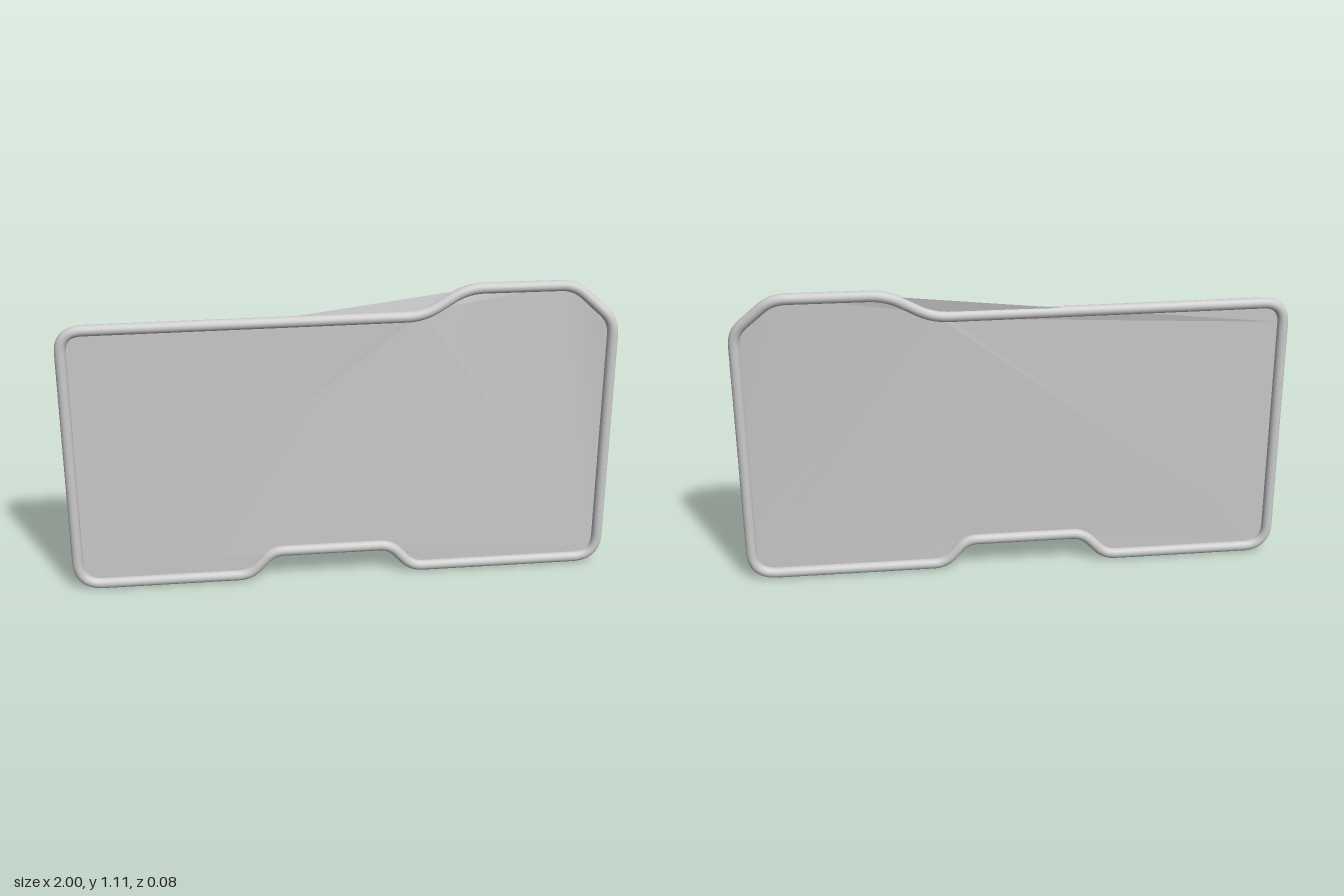
import * as THREE from 'three';

// Frame centreline corners: x, y, z, corner cut-back
const CORNERS = [
  [-0.98, 0.022, 0.02, 0.09],
  [-0.35, 0.022, 0.02, 0.04],
  [-0.26, 0.115, 0.02, 0.04],
  [0.18, 0.115, 0.02, 0.04],
  [0.265, 0.022, 0.02, 0.04],
  [0.98, 0.022, 0.02, 0.09],
  [0.98, 0.97, 0.018, 0.05],
  [0.84, 1.095, -0.018, 0.05],
  [0.45, 1.095, -0.02, 0.06],
  [0.29, 1.005, 0.0, 0.06],
  [-0.98, 1.005, 0.02, 0.08],
];

// Closed path of straight runs joined by rounded corners
function framePath() {
  const path = new THREE.CurvePath();
  const pts = CORNERS.map(([x, y, z]) => new THREE.Vector3(x, y, z));
  const n = pts.length;
  const toward = (i, j) => {
    const dir = pts[j].clone().sub(pts[i]).normalize();
    return pts[i].clone().addScaledVector(dir, CORNERS[i][3]);
  };
  for (let i = 0; i < n; i++) {
    const next = (i + 1) % n;
    const before = toward(i, (i + n - 1) % n);
    const after = toward(i, next);
    path.add(new THREE.QuadraticBezierCurve3(before, pts[i], after));
    path.add(new THREE.LineCurve3(after, toward(next, i)));
  }
  return path;
}

// Thin sheet from 3D points and triangle indices
function sheet(points, index, material, name) {
  const geometry = new THREE.BufferGeometry().setFromPoints(points);
  geometry.setIndex(index);
  geometry.computeVertexNormals();
  const mesh = new THREE.Mesh(geometry, material);
  mesh.name = name;
  return mesh;
}

export function createModel() {
  const group = new THREE.Group();
  group.name = 'framedPanel';
  const frameMaterial = new THREE.MeshStandardMaterial({ color: 0xcccccc });
  const panelMaterial = new THREE.MeshStandardMaterial({ color: 0xcccccc, side: THREE.DoubleSide });
  const path = framePath();

  // Round tube frame, bent back at the raised corner
  const frame = new THREE.Mesh(new THREE.TubeGeometry(path, 480, 0.02, 16, true), frameMaterial);
  frame.name = 'tubeFrame';
  group.add(frame);

  // Panel filling the frame along its centreline
  const outline = [];
  for (const curve of path.curves) {
    const steps = curve.isLineCurve3 ? 1 : 6;
    for (let i = 0; i < steps; i++) outline.push(curve.getPoint(i / steps));
  }
  const flat = outline.map((p) => new THREE.Vector2(p.x, p.y));
  const faces = THREE.ShapeUtils.triangulateShape(flat, []).flat();
  group.add(sheet(outline, faces, panelMaterial, 'panel'));

  // Sliver of sheet spanning the step in the top rail
  const flap = [
    new THREE.Vector3(-0.97, 0.93, 0.02),
    new THREE.Vector3(0.29, 1.0, 0.0),
    new THREE.Vector3(0.43, 1.09, -0.02),
  ];
  group.add(sheet(flap, [0, 1, 2], panelMaterial, 'panelFlap'));

  return group;
}
